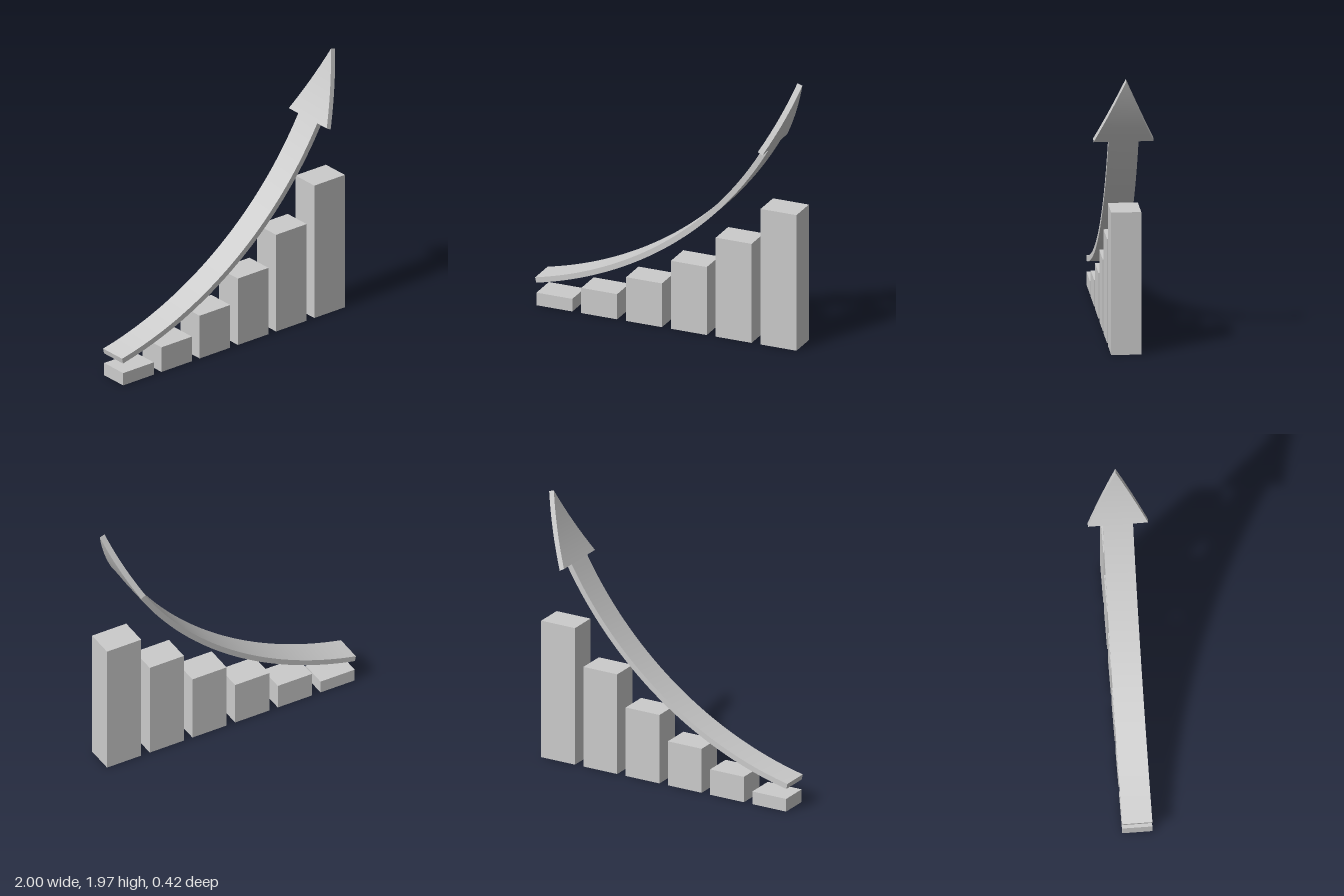
import * as THREE from 'three';
import { toCreasedNormals } from 'three/addons/utils/BufferGeometryUtils.js';

const material = new THREE.MeshStandardMaterial({ color: 0xcccccc });
const DEPTH = 0.21;

// Flat arrow bent along a circular arc, lofted from rectangular sections
function arrowGeometry() {
  const cx = -1.55, cy = 2.786, radius = 2.655, half = 0.02;
  const start = 12.05, neck = 60.7, tip = 72; // degrees from straight down
  const sections = []; // [angle, half width]
  for (let i = 0; i <= 48; i++) sections.push([start + (neck - start) * i / 48, DEPTH / 2]);
  for (let i = 0; i <= 16; i++) sections.push([neck + (tip - neck) * i / 16, DEPTH * (1 - i / 16)]);

  const rings = sections.map(([deg, w]) => {
    const a = THREE.MathUtils.degToRad(deg);
    return [[-half, w], [-half, -w], [half, -w], [half, w]].map(([d, z]) =>
      [cx + (radius + d) * Math.sin(a), cy - (radius + d) * Math.cos(a), z]);
  });

  const positions = [];
  const quad = (a, b, c, d) => positions.push(...a, ...b, ...c, ...a, ...c, ...d);
  quad(...rings[0]); // tail end
  for (let i = 0; i < rings.length - 1; i++) {
    const p = rings[i], q = rings[i + 1];
    const shoulder = sections[i][0] === sections[i + 1][0];
    for (let k = 0; k < 4; k++) {
      if (shoulder && k % 2 === 0) continue; // only the barbs have area here
      const n = (k + 1) % 4;
      quad(p[k], q[k], q[n], p[n]);
    }
  }
  const geometry = new THREE.BufferGeometry();
  geometry.setAttribute('position', new THREE.Float32BufferAttribute(positions, 3));
  return toCreasedNormals(geometry, 0.5);
}

export function createModel() {
  const group = new THREE.Group();
  group.name = 'growthChart';

  // Rising bars
  [0.095, 0.19, 0.33, 0.513, 0.747, 1.023].forEach((height, i) => {
    const bar = new THREE.Mesh(new THREE.BoxGeometry(0.274, height, DEPTH), material);
    bar.position.set(-0.853 + i * 0.3424, height / 2, 0);
    bar.name = `bar${i + 1}`;
    group.add(bar);
  });

  // Curved arrow above the bars
  const arrow = new THREE.Mesh(arrowGeometry(), material);
  arrow.name = 'arrow';
  group.add(arrow);
  return group;
}
